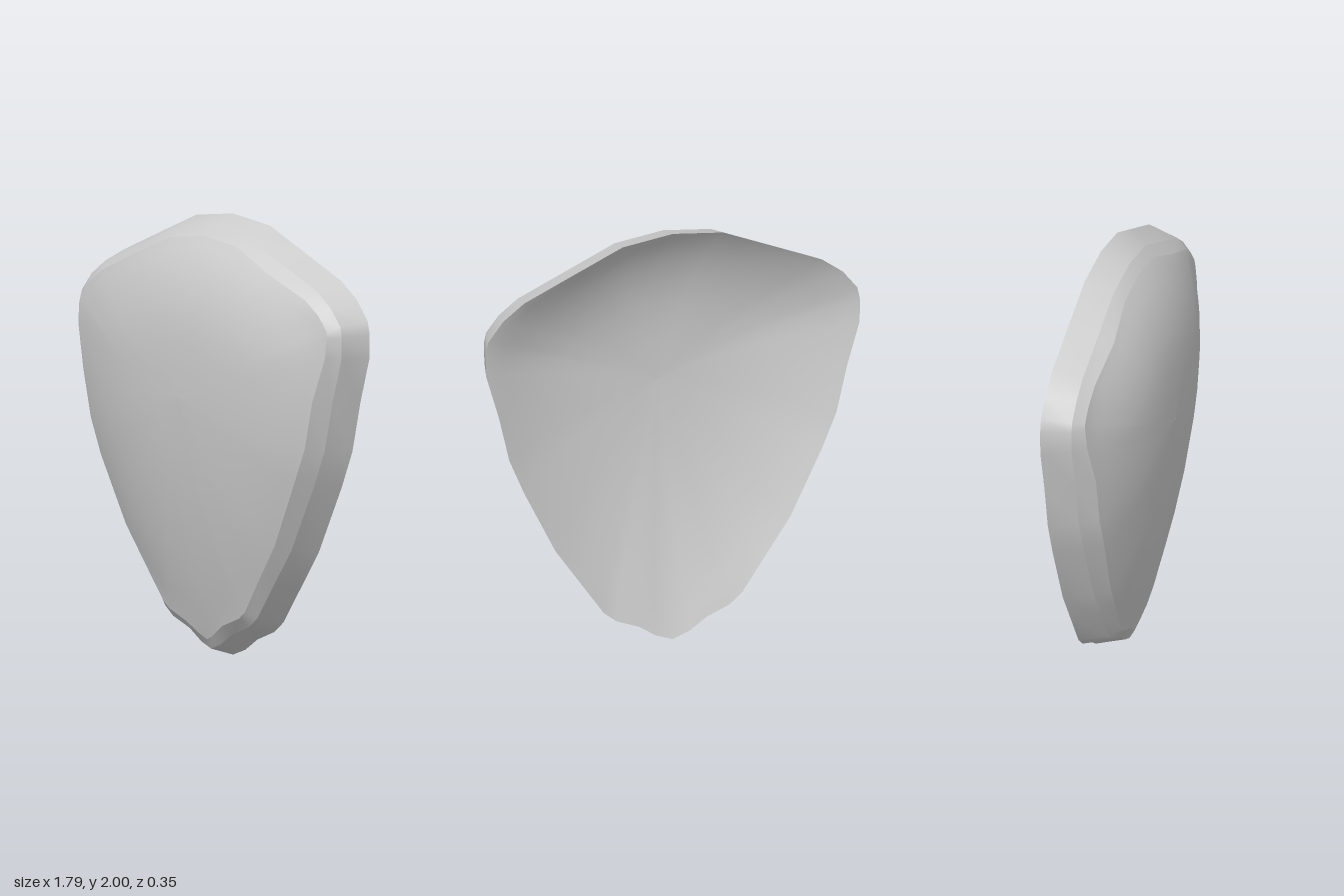
import * as THREE from 'three';

const CENTRE_Y = 1.2;
const BACK_Z = -0.175;
const SCALES = [1, 0.95, 0.89, 0.82, 0.73, 0.62, 0.5, 0.36, 0.2, 0.001];

// right half of the rim outline, from the top point down to the bottom tip
const HALF = [[0, 2], [0.24, 1.97], [0.47, 1.87], [0.71, 1.765], [0.81, 1.69], [0.88, 1.6], [0.893, 1.54],
  [0.89, 1.43], [0.83, 1.22], [0.78, 1.0], [0.71, 0.83], [0.56, 0.52], [0.445, 0.35], [0.33, 0.18],
  [0.27, 0.13], [0.16, 0.085], [0.08, 0.03], [0, 0]];

function fullOutline() {
  const right = HALF.map(([x, y]) => new THREE.Vector2(x, y));
  const left = HALF.slice(1, -1).reverse().map(([x, y]) => new THREE.Vector2(-x, y));
  return [...right, ...left];
}

// move every outline point inward along its averaged edge normal
function inset(points, amount) {
  const n = points.length;
  return points.map((p, i) => {
    const along = points[(i + 1) % n].clone().sub(p).normalize()
      .add(p.clone().sub(points[(i + n - 1) % n]).normalize()).normalize();
    return new THREE.Vector2(p.x + along.y * amount, p.y - along.x * amount);
  });
}

// height of the front: a vertical profile that falls off toward both sides
function dome(x, y) {
  const bend = y + 0.45 * x * x * THREE.MathUtils.smoothstep(y, 0.9, 1.6);
  const profile = bend > 1.25
    ? 0.176 - 0.176 * ((bend - 1.25) / 0.67) ** 3.2
    : 0.176 - 0.196 * ((1.25 - bend) / 1.18) ** 1.8;
  const halfWidth = 0.8 * (1 - (Math.max(1.5 - y, 0) / 1.5) ** 2.2);
  const side = Math.min(Math.abs(x) / Math.max(halfWidth, 0.2), 1);
  return profile * (1 - 0.85 * side ** 2.5);
}

// skin a list of closed rings; outer-to-inner order faces the front
function loft(name, rings, material) {
  const n = rings[0].length;
  const index = [];
  for (let r = 0; r < rings.length - 1; r++) {
    for (let i = 0; i < n; i++) {
      const a = r * n + i, b = r * n + (i + 1) % n;
      index.push(a, a + n, b, b, a + n, b + n);
    }
  }
  const geometry = new THREE.BufferGeometry().setFromPoints(rings.flat());
  geometry.setIndex(index);
  geometry.computeVertexNormals();
  const mesh = new THREE.Mesh(geometry, material);
  mesh.name = name;
  return mesh;
}

const shrink = (y, s) => CENTRE_Y + (y - CENTRE_Y) * s;

export function createModel() {
  const group = new THREE.Group();
  group.name = 'shield';
  const material = new THREE.MeshStandardMaterial({ color: 0xcccccc, side: THREE.DoubleSide });

  const outline = fullOutline();
  const edge = inset(outline, 0.085);
  const rim = outline.map((p) => new THREE.Vector3(p.x, p.y, BACK_Z));
  const shoulder = inset(outline, 0.04).map((p) => new THREE.Vector3(p.x, p.y, -0.04));

  const frontRings = SCALES.map((s) => edge.map((p) => {
    const x = p.x * s, y = shrink(p.y, s);
    return new THREE.Vector3(x, y, dome(x, y));
  }));

  // the back follows the front at a distance and meets the flat rim
  const backRings = SCALES.map((s, r) => rim.map((p, i) => {
    const toRim = s * s * (BACK_Z - frontRings[0][i].z);
    return new THREE.Vector3(p.x * s, shrink(p.y, s), frontRings[r][i].z + toRim - 0.15 * (1 - s * s));
  }));

  group.add(
    loft('sideWall', [rim, shoulder], material),
    loft('bevel', [shoulder, frontRings[0]], material),
    loft('frontFace', frontRings, material),
    loft('hollowBack', backRings.reverse(), material));
  return group;
}
